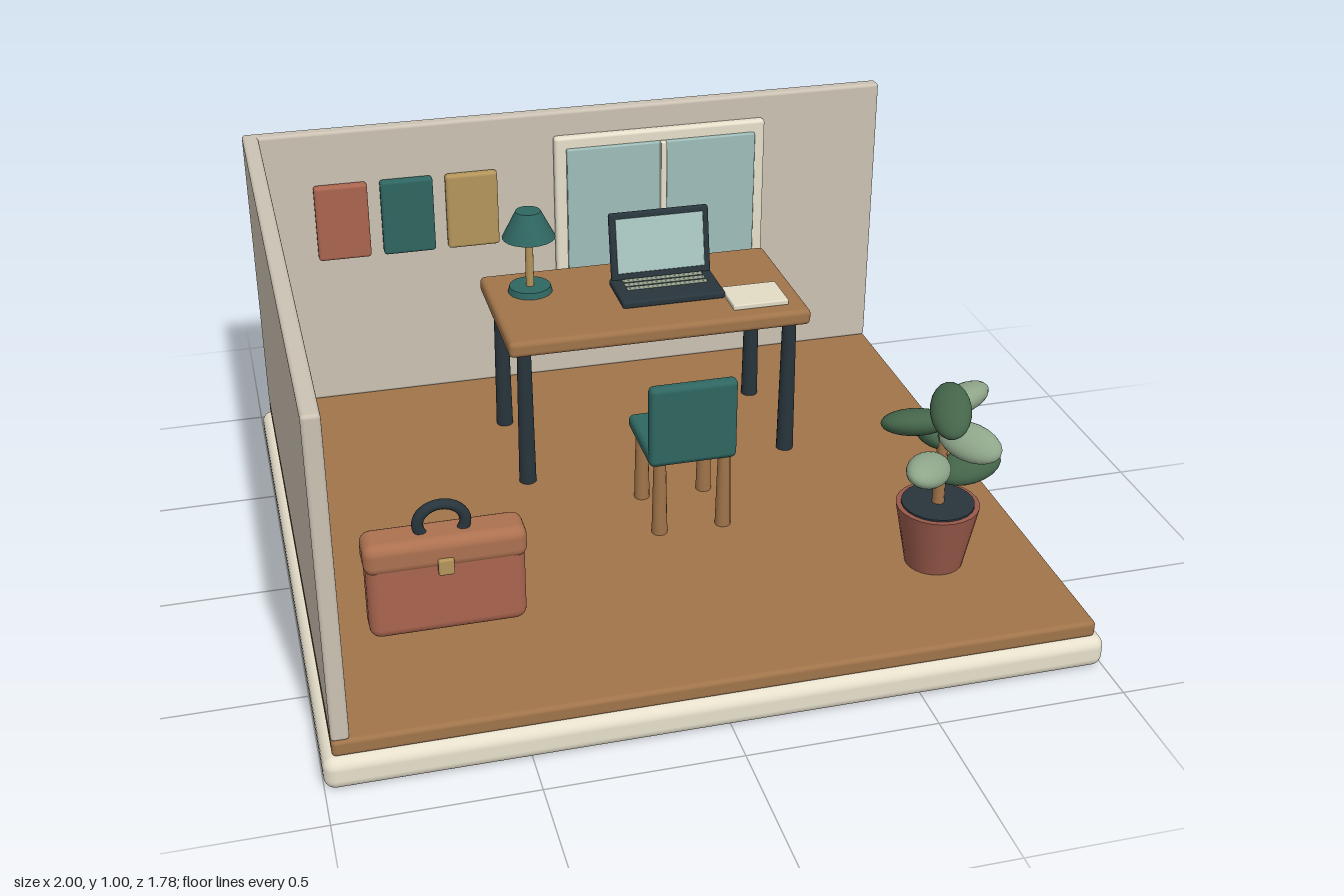
import * as THREE from 'three';
import { RoundedBoxGeometry } from 'three/addons/geometries/RoundedBoxGeometry.js';

const COLORS = {
  cream: 0xe6dfcb, wall: 0xcbc2b3, wood: 0xa0744a, teal: 0x2f6661, rust: 0xaa654f,
  flap: 0xac7150, gold: 0xb3955a, dark: 0x28353c, glass: 0x9fbdba, screen: 0xa9c6c1,
  key: 0x95a28e, paper: 0xe2dcc6, pot: 0x99594a, leafDark: 0x44654a, leafLight: 0x8fa68a,
};
const MATERIALS = {};
for (const key in COLORS) MATERIALS[key] = new THREE.MeshStandardMaterial({ color: COLORS[key] });

export function createModel() {
  const model = new THREE.Group();
  model.name = 'officeRoom';

  const section = (name) => {
    const group = new THREE.Group();
    group.name = name;
    model.add(group);
    return group;
  };
  const add = (parent, name, geometry, color, x, y, z) => {
    const mesh = new THREE.Mesh(geometry, MATERIALS[color]);
    mesh.name = name;
    mesh.position.set(x, y, z);
    parent.add(mesh);
    return mesh;
  };
  // Rounded box given by its limits on each axis
  const box = (parent, name, color, [x0, x1], [y0, y1], [z0, z1], radius = 0.005) =>
    add(parent, name, new RoundedBoxGeometry(x1 - x0, y1 - y0, z1 - z0, 3, radius), color,
      (x0 + x1) / 2, (y0 + y1) / 2, (z0 + z1) / 2);
  // Upright cylinder or cone standing from y0 to y1
  const post = (parent, name, color, rTop, rBottom, x, y0, y1, z, sides = 24) =>
    add(parent, name, new THREE.CylinderGeometry(rTop, rBottom, y1 - y0, sides), color, x, (y0 + y1) / 2, z);

  // Room shell
  const room = section('room');
  box(room, 'basePlinth', 'cream', [-1, 1], [0, 0.088], [-0.89, 0.89], 0.03);
  box(room, 'floor', 'wood', [-0.975, 0.975], [0.086, 0.132], [-0.87, 0.87], 0.012);
  box(room, 'backWall', 'wall', [-0.975, 0.972], [0.13, 1], [-0.875, -0.832], 0.01);
  box(room, 'sideWall', 'wall', [-0.975, -0.93], [0.13, 1], [-0.875, 0.868], 0.01);

  // Three wall panels
  const panels = section('wallPanels');
  ['rust', 'teal', 'gold'].forEach((color, i) => {
    const x = -0.788 + i * 0.195;
    box(panels, 'wallPanel', color, [x, x + 0.157], [0.605, 0.84], [-0.833, -0.802], 0.01);
  });

  // Window
  const win = section('window');
  box(win, 'windowFrame', 'cream', [-0.065, 0.595], [0.41, 0.927], [-0.835, -0.802], 0.01);
  box(win, 'windowGlass', 'glass', [-0.03, 0.56], [0.44, 0.892], [-0.806, -0.788], 0.004);
  box(win, 'windowMullion', 'cream', [0.258, 0.276], [0.44, 0.897], [-0.792, -0.77], 0.004);
  box(win, 'windowSill', 'cream', [-0.07, 0.598], [0.402, 0.43], [-0.83, -0.727], 0.008);

  // Desk
  const desk = section('desk');
  box(desk, 'deskTop', 'wood', [-0.342, 0.532], [0.552, 0.6], [-0.6, -0.136], 0.015);
  for (const x of [-0.293, 0.483])
    for (const z of [-0.54, -0.187]) post(desk, 'deskLeg', 'dark', 0.02, 0.025, x, 0.13, 0.56, z, 16);

  // Desk lamp
  const lamp = section('lamp');
  post(lamp, 'lampBase', 'teal', 0.06, 0.065, -0.217, 0.598, 0.618, -0.463);
  post(lamp, 'lampStem', 'gold', 0.012, 0.012, -0.217, 0.61, 0.79, -0.463, 12);
  post(lamp, 'lampShade', 'teal', 0.036, 0.077, -0.217, 0.77, 0.85, -0.463);

  // Laptop
  const laptop = section('laptop');
  box(laptop, 'laptopBase', 'dark', [0.013, 0.317], [0.599, 0.621], [-0.445, -0.272], 0.008);
  for (const z of [-0.41, -0.383, -0.356])
    box(laptop, 'keyRow', 'key', [0.045, 0.285], [0.617, 0.626], [z - 0.007, z + 0.007], 0.003);
  const lid = section('laptopLid');
  laptop.add(lid);
  lid.position.set(0.167, 0.612, -0.432);
  lid.rotation.x = -0.19;
  box(lid, 'lidShell', 'dark', [-0.149, 0.149], [0, 0.204], [-0.01, 0.01], 0.008);
  box(lid, 'lidScreen', 'screen', [-0.131, 0.131], [0.025, 0.187], [0.006, 0.013], 0.003);

  // Notebook on the desk
  box(section('notebook'), 'notebookBlock', 'paper', [0.316, 0.48], [0.599, 0.615], [-0.32, -0.187], 0.004);

  // Chair
  const chair = section('chair');
  box(chair, 'chairSeat', 'teal', [-0.03, 0.214], [0.348, 0.39], [-0.048, 0.197], 0.015);
  box(chair, 'chairBack', 'teal', [-0.03, 0.214], [0.352, 0.588], [0.162, 0.2], 0.015);
  for (const x of [0.003, 0.184])
    for (const z of [-0.02, 0.174]) post(chair, 'chairLeg', 'wood', 0.017, 0.022, x, 0.13, 0.355, z, 14);

  // Briefcase
  const bag = section('briefcase');
  box(bag, 'briefcaseBody', 'rust', [-0.835, -0.435], [0.157, 0.42], [0.433, 0.533], 0.03);
  box(bag, 'briefcaseFlap', 'flap', [-0.84, -0.43], [0.345, 0.432], [0.428, 0.538], 0.028);
  box(bag, 'briefcaseClasp', 'gold', [-0.658, -0.618], [0.335, 0.38], [0.525, 0.548], 0.005);
  add(bag, 'briefcaseHandle', new THREE.TorusGeometry(0.06, 0.015, 12, 32), 'dark', -0.637, 0.452, 0.483)
    .scale.y = 0.85;

  // Potted plant, leaves spiralling up the stem by the golden angle
  const plant = section('plant');
  plant.position.set(0.68, 0, 0.492);
  post(plant, 'pot', 'pot', 0.111, 0.077, 0, 0.13, 0.31, 0);
  post(plant, 'soil', 'dark', 0.097, 0.097, 0, 0.29, 0.315, 0);
  post(plant, 'stem', 'wood', 0.012, 0.017, 0, 0.3, 0.63, 0, 10);
  const leafShape = new THREE.SphereGeometry(1, 20, 14);
  const tilts = [[0.2, 0.4], [0.15, -0.4], [-0.1, 0.3], [-0.1, 0.6], [0, 0.4], [0, -0.4], [-0.4, 0.3]];
  tilts.forEach(([pitch, roll], i) => {
    const a = i * THREE.MathUtils.degToRad(137.5);
    const leaf = add(plant, 'leaf', leafShape, i % 2 ? 'leafLight' : 'leafDark',
      Math.cos(a) * 0.078, 0.412 + i * 0.0365, Math.sin(a) * 0.078);
    leaf.scale.set(0.09, 0.036, 0.053);
    leaf.rotation.set(roll, -a, pitch, 'YZX');
  });

  return model;
}
